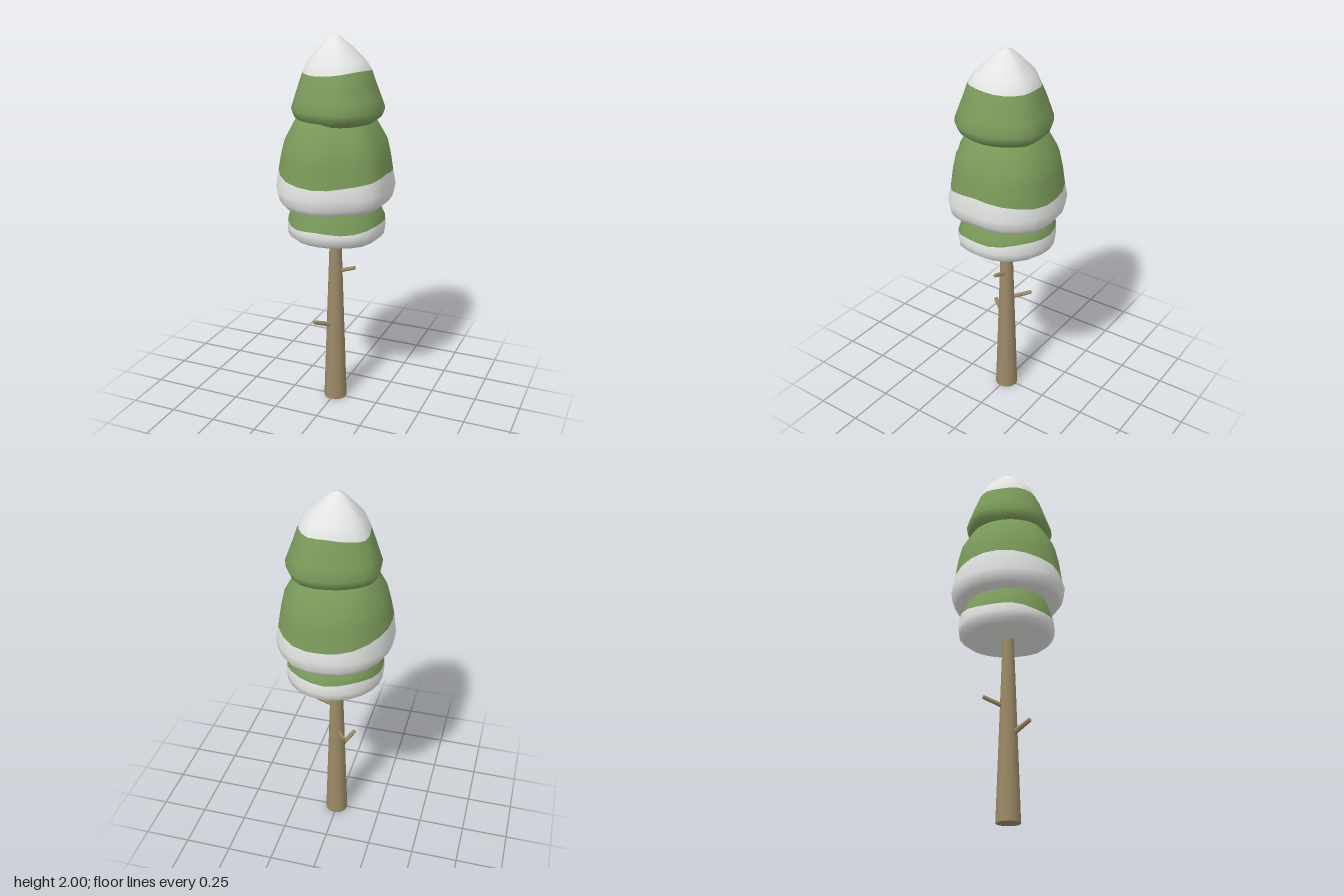
import * as THREE from 'three';

const SEGMENTS = 24;
const mat = (name, color) => {
  const m = new THREE.MeshStandardMaterial({ color });
  m.name = name;
  return m;
};

// Smoothly interpolate a closed list of radii, listed from +x towards +z
function radiusAt(radii, angle) {
  const t = (angle / (Math.PI * 2)) * radii.length;
  const i = Math.floor(t) % radii.length;
  const f = (1 - Math.cos((t % 1) * Math.PI)) / 2;
  return radii[i] * (1 - f) + radii[(i + 1) % radii.length] * f;
}

// Loft a lumpy tier. Profile rows are [y, radius factor, ripple share];
// rows below index `split` get the first material, the rest the second.
function tier(name, radii, profile, ripple, split, materials) {
  const pos = [], index = [];
  for (const [y, k, share = 0] of profile) {
    for (let j = 0; j < SEGMENTS; j++) {
      const a = (j / SEGMENTS) * Math.PI * 2;
      const r = radiusAt(radii, a) * k;
      pos.push(Math.cos(a) * r, y + ripple(a) * share, Math.sin(a) * r);
    }
  }
  for (let i = 0; i < profile.length - 1; i++) {
    for (let j = 0; j < SEGMENTS; j++) {
      const n = (j + 1) % SEGMENTS;
      const a = i * SEGMENTS + j, b = i * SEGMENTS + n;
      const c = a + SEGMENTS, d = b + SEGMENTS;
      index.push(a, c, b, b, c, d);
    }
  }
  const g = new THREE.BufferGeometry();
  g.setAttribute('position', new THREE.Float32BufferAttribute(pos, 3));
  g.setIndex(index);
  g.computeVertexNormals();
  const cut = split * SEGMENTS * 6;
  g.addGroup(0, cut, 0);
  g.addGroup(cut, index.length - cut, 1);
  const mesh = new THREE.Mesh(g, materials);
  mesh.name = name;
  return mesh;
}

// Tapered round stick between two points
function stick(name, from, to, r0, r1, sides, material) {
  const a = new THREE.Vector3(...from), b = new THREE.Vector3(...to);
  const dir = b.clone().sub(a);
  const mesh = new THREE.Mesh(new THREE.CylinderGeometry(r1, r0, dir.length(), sides), material);
  mesh.position.copy(a).add(b).multiplyScalar(0.5);
  mesh.quaternion.setFromUnitVectors(new THREE.Vector3(0, 1, 0), dir.normalize());
  mesh.name = name;
  return mesh;
}

export function createModel() {
  const tree = new THREE.Group();
  tree.name = 'snowyTree';
  const bark = mat('bark', 0x9a8a66);
  const green = mat('foliage', 0x7a9a5a);
  const snow = mat('snow', 0xe3e5e2);

  // Trunk and broken branch stubs
  tree.add(
    stick('trunk', [0.004, 0, -0.004], [0.004, 1.1, -0.004], 0.063, 0.026, 16, bark),
    stick('rightStub', [0.02, 0.757, -0.005], [0.115, 0.788, -0.005], 0.012, 0.01, 8, bark),
    stick('frontStub', [-0.01, 0.445, 0.025], [-0.07, 0.489, 0.122], 0.014, 0.011, 8, bark),
    stick('backStub', [-0.015, 0.592, -0.03], [-0.065, 0.63, -0.12], 0.012, 0.01, 8, bark)
  );

  // Lowest tier: snow on the rim and underside
  tree.add(tier('lowerFoliage',
    [0.265, 0.27, 0.25, 0.245, 0.25, 0.25, 0.25, 0.255, 0.265, 0.275, 0.28, 0.275],
    [[0.965, 0], [0.962, 0.5], [0.962, 0.86], [0.985, 0.97], [1.02, 0.99], [1.06, 0.98, 1],
      [1.1, 0.92, 0.4], [1.15, 0.85], [1.22, 0.7], [1.26, 0]],
    (a) => -0.018 * Math.sin(a) + 0.006 * Math.sin(5 * a), 5, [snow, green]));

  // Middle tier: wide snowy skirt
  tree.add(tier('middleFoliage',
    [0.295, 0.315, 0.283, 0.306, 0.318, 0.302, 0.297, 0.306, 0.313, 0.31, 0.33, 0.322],
    [[1.18, 0], [1.165, 0.7], [1.155, 0.9, 0.3], [1.185, 0.97, 0.3], [1.235, 1], [1.31, 0.955, 1],
      [1.4, 0.91, 0.3], [1.48, 0.85], [1.58, 0.67], [1.66, 0.45], [1.7, 0]],
    (a) => 0.025 * Math.cos(2 * a) - 0.012 * Math.cos(a), 5, [snow, green]));

  // Top tier: green cone with a snow cap
  tree.add(tier('topFoliage',
    [0.255, 0.26, 0.258, 0.224, 0.228, 0.222, 0.222, 0.25, 0.236, 0.24, 0.27, 0.26],
    [[1.61, 0], [1.59, 0.55], [1.58, 0.8], [1.605, 0.93], [1.645, 0.99], [1.7, 0.91],
      [1.76, 0.82], [1.825, 0.725, 1], [1.88, 0.6], [1.95, 0.32], [1.99, 0.13], [2, 0]],
    (a) => 0.012 * Math.cos(a) + 0.006 * Math.sin(3 * a), 7, [green, snow]));

  return tree;
}
